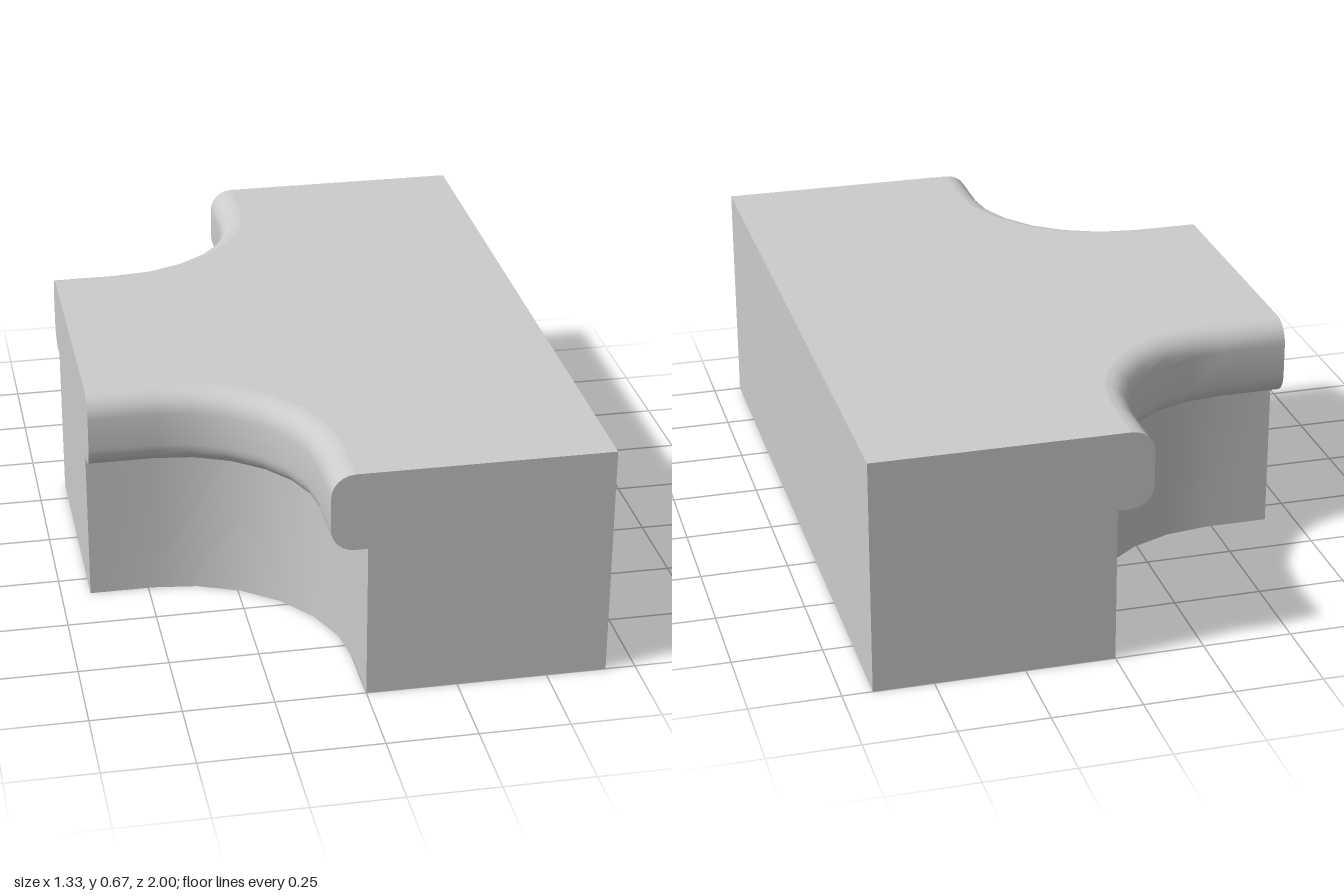
import * as THREE from 'three';
import { mergeGeometries, toCreasedNormals } from 'three/addons/utils/BufferGeometryUtils.js';

const HALF_W = 0.667, HEIGHT = 0.667, LEDGE = 0.444; // half width, top, underside of lip
const FILLET = 0.485, CENTER_Z = 0.82;               // concave corner of the wall
const LIP = 0.1, ROUND = 0.065, STEPS = 6;

// T-shaped outline as [x, z], pushed outward by d on the curved sides only
function ring(d) {
  const side = [[-d, -1]];
  for (let i = 0; i <= STEPS; i++) {
    const a = (i / STEPS) * Math.PI / 2, r = FILLET - d;
    side.push([-FILLET + r * Math.cos(a), -CENTER_Z + r * Math.sin(a)]);
  }
  side.push([-HALF_W, -CENTER_Z + FILLET - d]);
  const mirrored = side.map(([x, z]) => [x, -z]).reverse();
  return [[HALF_W, 1], [HALF_W, -1], ...side, ...mirrored];
}

// Wall profile as [outward offset, y]: straight wall, ledge, rounded lip
function wallProfile() {
  const p = [[0, 0], [0, LEDGE]];
  for (const [y, start] of [[LEDGE + ROUND, -Math.PI / 2], [HEIGHT - ROUND, 0]]) {
    for (let i = 0; i <= STEPS; i++) {
      const a = start + (i / STEPS) * Math.PI / 2;
      p.push([LIP - ROUND + ROUND * Math.cos(a), y + ROUND * Math.sin(a)]);
    }
  }
  return p;
}

// Closed rings joined level by level
function loft(profile) {
  const rows = profile.map(([d, y]) => ring(d).map(([x, z]) => [x, y, z]));
  const n = rows[0].length, pos = [];
  for (let j = 0; j < rows.length - 1; j++) {
    for (let i = 0; i < n; i++) {
      const k = (i + 1) % n;
      const a = rows[j][i], b = rows[j][k], c = rows[j + 1][k], e = rows[j + 1][i];
      pos.push(...a, ...b, ...c, ...a, ...c, ...e);
    }
  }
  const g = new THREE.BufferGeometry();
  g.setAttribute('position', new THREE.Float32BufferAttribute(pos, 3));
  return toCreasedNormals(g, 0.6);
}

// Flat T-shaped face, facing up (dir 1) or down (dir -1)
function cap(d, y, dir) {
  const shape = new THREE.Shape(ring(d).map(([x, z]) => new THREE.Vector2(x, -dir * z)));
  const g = new THREE.ShapeGeometry(shape).rotateX(-dir * Math.PI / 2).translate(0, y, 0);
  g.deleteAttribute('uv');
  return g.toNonIndexed();
}

export function createModel() {
  const group = new THREE.Group();
  const profile = wallProfile();
  const [topOffset] = profile[profile.length - 1];
  const geometry = mergeGeometries([loft(profile), cap(topOffset, HEIGHT, 1), cap(0, 0, -1)]);
  const block = new THREE.Mesh(geometry, new THREE.MeshStandardMaterial({ color: 0xcccccc }));
  block.name = 'lippedBlock';
  group.add(block);
  return group;
}
